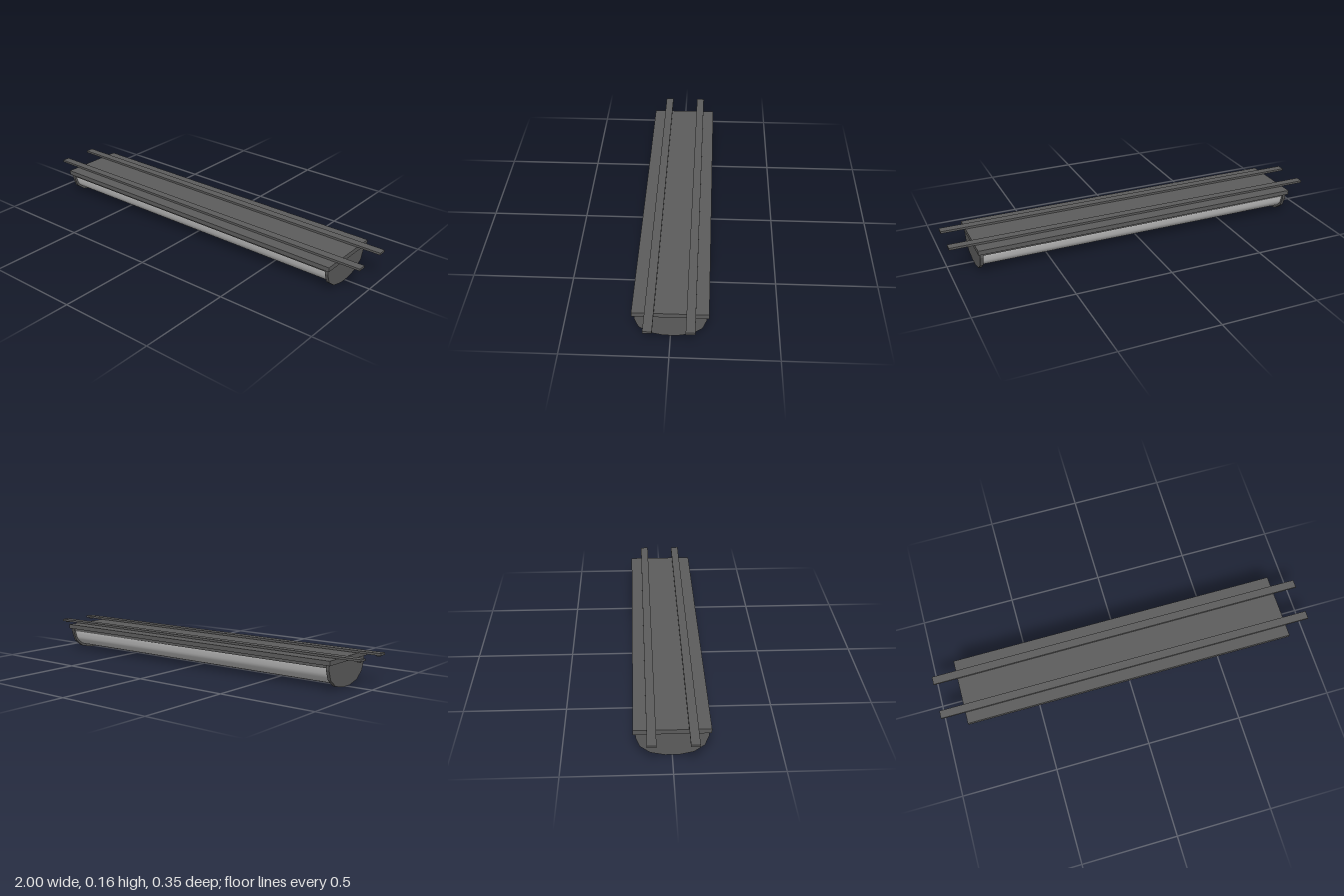
import * as THREE from 'three';

export function createModel() {
  const model = new THREE.Group();
  const housing = new THREE.MeshStandardMaterial({ color: 0x5c5c5c });
  housing.name = 'dark grey housing';
  const diffuser = new THREE.MeshStandardMaterial({ color: 0xcccccc });
  diffuser.name = 'light grey diffuser';

  const add = (name, geometry, material, x = 0, y = 0, z = 0) => {
    const mesh = new THREE.Mesh(geometry, material);
    mesh.name = name;
    mesh.position.set(x, y, z);
    model.add(mesh);
    return mesh;
  };
  const box = (name, w, h, d, x, y, z) =>
    add(name, new THREE.BoxGeometry(w, h, d), housing, x, y, z);

  // Top plate and the narrower tray below it
  box('topPlate', 1.75, 0.023, 0.352, 0, 0.1365, 0);
  box('tray', 1.7, 0.017, 0.316, 0, 0.1175, 0);

  // Mounting rails with a small bolt under each end
  for (const z of [0.095, -0.095]) {
    box('mountingRail', 2, 0.011, 0.042, 0, 0.1555, z);
    for (const x of [0.98, -0.98]) box('railBolt', 0.016, 0.008, 0.014, x, 0.147, z);
  }

  // Faceted end caps
  const half = [[0.165, 0.125], [0.165, 0.102], [0.147, 0.052], [0.099, 0.015], [0.032, 0]];
  const outline = [...half, ...half.map(([z, y]) => [-z, y]).reverse()];
  const capShape = new THREE.Shape(outline.map(([z, y]) => new THREE.Vector2(z, y)));
  const capGeometry = new THREE.ExtrudeGeometry(capShape, { depth: 0.016, bevelEnabled: false });
  capGeometry.translate(0, 0, -0.008).rotateY(Math.PI / 2);
  for (const x of [0.857, -0.857]) add('endCap', capGeometry, housing, x);

  // Smooth curved diffuser trough: a sheet bent around a rounded half section
  const section = new THREE.SplineCurve(
    [[0.153, 0.112], [0.151, 0.1], [0.135, 0.058], [0.092, 0.027], [0.03, 0.014],
      [-0.03, 0.014], [-0.092, 0.027], [-0.135, 0.058], [-0.151, 0.1], [-0.153, 0.112]]
      .map(([z, y]) => new THREE.Vector2(z, y)));
  const sheet = new THREE.PlaneGeometry(1.7, 1, 1, 36);
  const position = sheet.attributes.position;
  for (let i = 0; i < position.count; i++) {
    const p = section.getPointAt(THREE.MathUtils.clamp(0.5 - position.getY(i), 0, 1));
    position.setXYZ(i, position.getX(i), p.y, p.x);
  }
  sheet.computeVertexNormals();
  add('diffuser', sheet, diffuser);

  return model;
}
